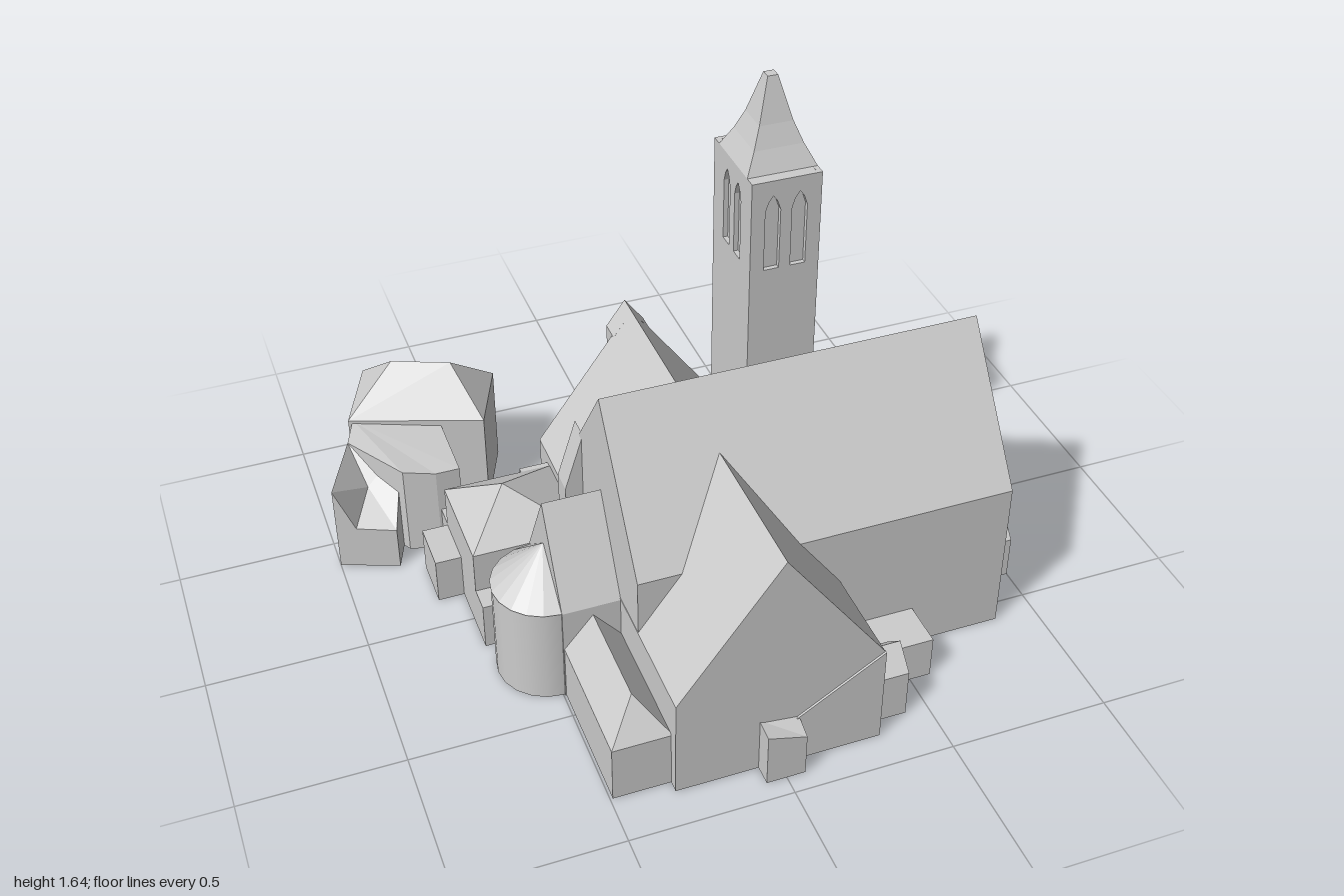
import * as THREE from 'three';

const stone = new THREE.MeshStandardMaterial({ color: 0xcccccc });
stone.name = 'pale stone';

function add(parent, name, geometry) {
  const mesh = new THREE.Mesh(geometry, stone);
  mesh.name = name;
  parent.add(mesh);
  return mesh;
}

// Solid standing on the ground: top corners [x, y, z] run counter-clockwise seen from above.
// No peak gives a flat top, one peak a fan roof, two peaks a ridge roof over four corners.
function solid(corners, peaks = []) {
  const pos = [];
  const face = (...p) => {
    for (let i = 1; i < p.length - 1; i++) pos.push(...p[0], ...p[i], ...p[i + 1]);
  };
  const ground = corners.map(([x, , z]) => [x, 0, z]);
  corners.forEach((c, i) => {
    const j = (i + 1) % corners.length;
    face(c, ground[i], ground[j], corners[j]);
    if (peaks.length === 1) face(c, corners[j], peaks[0]);
  });
  face(...ground.slice().reverse());
  if (peaks.length === 0) face(...corners);
  if (peaks.length === 2) {
    const [a, b, c, d] = corners;
    const [p, q] = peaks;
    face(a, b, p);
    face(b, c, q, p);
    face(c, d, q);
    face(d, a, p, q);
  }
  const geometry = new THREE.BufferGeometry();
  geometry.setAttribute('position', new THREE.Float32BufferAttribute(pos, 3));
  geometry.computeVertexNormals();
  return geometry;
}

// Flat-topped block
const block = (x0, x1, z0, z1, y) =>
  solid([[x0, y, z0], [x0, y, z1], [x1, y, z1], [x1, y, z0]]);

// Ridge running along x
function roofedX(x0, x1, z0, z1, eave, ridge) {
  const z = (z0 + z1) / 2;
  return solid([[x0, eave, z0], [x0, eave, z1], [x1, eave, z1], [x1, eave, z0]],
    [[x0, ridge, z], [x1, ridge, z]]);
}

// Ridge running along z, with an optional hip at the front
function roofedZ(x0, x1, z0, z1, eave, ridge, hip = 0) {
  const x = (x0 + x1) / 2;
  return solid([[x0, eave, z1], [x1, eave, z1], [x1, eave, z0], [x0, eave, z0]],
    [[x, ridge, z1 - hip], [x, ridge, z0]]);
}

// Tower wall with a pair of pointed openings
function towerWall(width, height, depth) {
  const w = width / 2;
  const shape = new THREE.Shape([[-w, 0], [w, 0], [w, height], [-w, height]]
    .map(p => new THREE.Vector2(...p)));
  for (const cx of [-0.042, 0.042]) {
    const pts = [[-0.024, 1.08], [-0.024, 1.28], [-0.014, 1.31], [0, 1.33],
      [0.014, 1.31], [0.024, 1.28], [0.024, 1.08]];
    shape.holes.push(new THREE.Path(pts.map(([x, y]) => new THREE.Vector2(cx + x, y))));
  }
  return new THREE.ExtrudeGeometry(shape, { depth, bevelEnabled: false });
}

function buildTower() {
  const tower = new THREE.Group();
  tower.name = 'bellTower';
  const W = 0.22, D = 0.294, H = 1.38, T = 0.015;
  add(tower, 'towerCore', new THREE.BoxGeometry(W - 2 * T, H - 0.002, D - 2 * T)).position.y = H / 2;
  for (let i = 0; i < 4; i++) {
    const side = i % 2 === 1;
    const wall = add(tower, 'towerWall', towerWall(side ? D : W, H, T));
    wall.rotation.y = i * Math.PI / 2;
    const out = (side ? W : D) / 2 - T;
    wall.position.set(Math.sin(i * Math.PI / 2) * out, 0, Math.cos(i * Math.PI / 2) * out);
  }
  // Flared four-sided spire, stacked from tapering sections
  const profile = [[0.11, 1.38], [0.078, 1.445], [0.053, 1.51], [0.016, 1.645]];
  for (let i = 0; i < 3; i++) {
    const [r0, y0] = profile[i], [r1, y1] = profile[i + 1];
    const g = new THREE.CylinderGeometry(r1 * Math.SQRT2, r0 * Math.SQRT2, y1 - y0, 4, 1, i < 2)
      .rotateY(Math.PI / 4).toNonIndexed();
    g.computeVertexNormals();
    add(tower, 'spire', g).position.y = (y0 + y1) / 2;
  }
  tower.position.set(0.355, 0, -0.157);
  return tower;
}

export function createModel() {
  const church = new THREE.Group();
  church.name = 'church';

  // Main body
  add(church, 'nave', roofedX(-0.315, 0.868, -0.063, 0.567, 0.52, 0.95));
  add(church, 'transept', roofedZ(-0.316, 0.316, -0.384, 0.878, 0.335, 0.77));
  add(church, 'backButtress', roofedZ(-0.062, 0.062, -0.44, -0.37, 0.685, 0.77));
  church.add(buildTower());

  // Right-hand porch and the diamond window above it
  add(church, 'sidePorch', roofedX(0.86, 1, 0.105, 0.395, 0.145, 0.305));
  const diamond = new THREE.Shape([[0, -0.115], [0.08, 0], [0, 0.12], [-0.08, 0]]
    .map(p => new THREE.Vector2(...p)));
  const pane = add(church, 'diamondWindow',
    new THREE.ExtrudeGeometry(diamond, { depth: 0.008, bevelEnabled: false }));
  pane.rotation.y = Math.PI / 2;
  pane.position.set(0.867, 0.385, 0.25);

  // Front buttress, raking wall and small annexes
  add(church, 'frontButtress', solid([[-0.062, 0.185, 0.87], [-0.062, 0.18, 0.94],
    [0.058, 0.145, 0.94], [0.058, 0.17, 0.87]]));
  const rake = new THREE.Shape([[0, 0], [0.318, 0], [0.318, 0.335], [0, 0.135]]
    .map(p => new THREE.Vector2(...p)));
  add(church, 'rakingWall', new THREE.ExtrudeGeometry(rake, { depth: 0.012, bevelEnabled: false }))
    .position.z = 0.873;
  add(church, 'lowAnnex', block(0.3, 0.567, 0.55, 0.712, 0.143));
  add(church, 'gabledAnnex', roofedX(0.31, 0.428, 0.69, 0.83, 0.163, 0.23));

  // Chancel and rounded apse
  add(church, 'chancel', roofedX(-0.495, -0.3, 0.085, 0.415, 0.33, 0.62));
  add(church, 'apseWall', new THREE.CylinderGeometry(0.16, 0.16, 0.33, 20))
    .position.set(-0.497, 0.165, 0.25);
  const cone = new THREE.ConeGeometry(0.163, 0.14, 20).toNonIndexed();
  cone.computeVertexNormals();
  add(church, 'apseRoof', cone).position.set(-0.497, 0.4, 0.25);
  add(church, 'chancelPier', solid([[-0.37, 0.5, 0], [-0.37, 0.5, 0.075],
    [-0.31, 0.69, 0.075], [-0.31, 0.69, 0]]));

  // Front-left chapel with a hipped end
  add(church, 'chapel', roofedZ(-0.492, -0.31, 0.4, 0.842, 0.19, 0.3, 0.09));

  // Vestry with a pyramid roof, and its little blocks
  add(church, 'vestry', solid([[-0.662, 0.3, -0.287], [-0.662, 0.3, 0.05],
    [-0.31, 0.3, 0.05], [-0.31, 0.3, -0.287]], [[-0.52, 0.43, -0.1]]));
  add(church, 'vestryStep', block(-0.745, -0.65, -0.285, -0.12, 0.155));
  add(church, 'vestryPier', block(-0.662, -0.58, 0.04, 0.13, 0.16));
  add(church, 'vestryCorner', block(-0.41, -0.3, -0.305, -0.19, 0.3));
  add(church, 'passage', block(-0.662, -0.592, -0.4, -0.28, 0.16));

  // Outbuildings set at an angle behind
  add(church, 'linkBlock', solid([[-0.86, 0.33, -0.7], [-0.9, 0.32, -0.6], [-0.77, 0.32, -0.39],
    [-0.67, 0.31, -0.36], [-0.592, 0.31, -0.36], [-0.592, 0.32, -0.62]]));
  add(church, 'shed', solid([[-0.9, 0.32, -0.6], [-1, 0.305, -0.39], [-0.94, 0.155, -0.367],
    [-0.82, 0.15, -0.32], [-0.74, 0.32, -0.53]], [[-0.87, 0.22, -0.48]]));
  add(church, 'hall', solid([[-0.77, 0.34, -0.945], [-0.877, 0.34, -0.688],
    [-0.46, 0.34, -0.537], [-0.36, 0.34, -0.778]],
    [[-0.7, 0.475, -0.78], [-0.52, 0.475, -0.705]]));

  return church;
}
